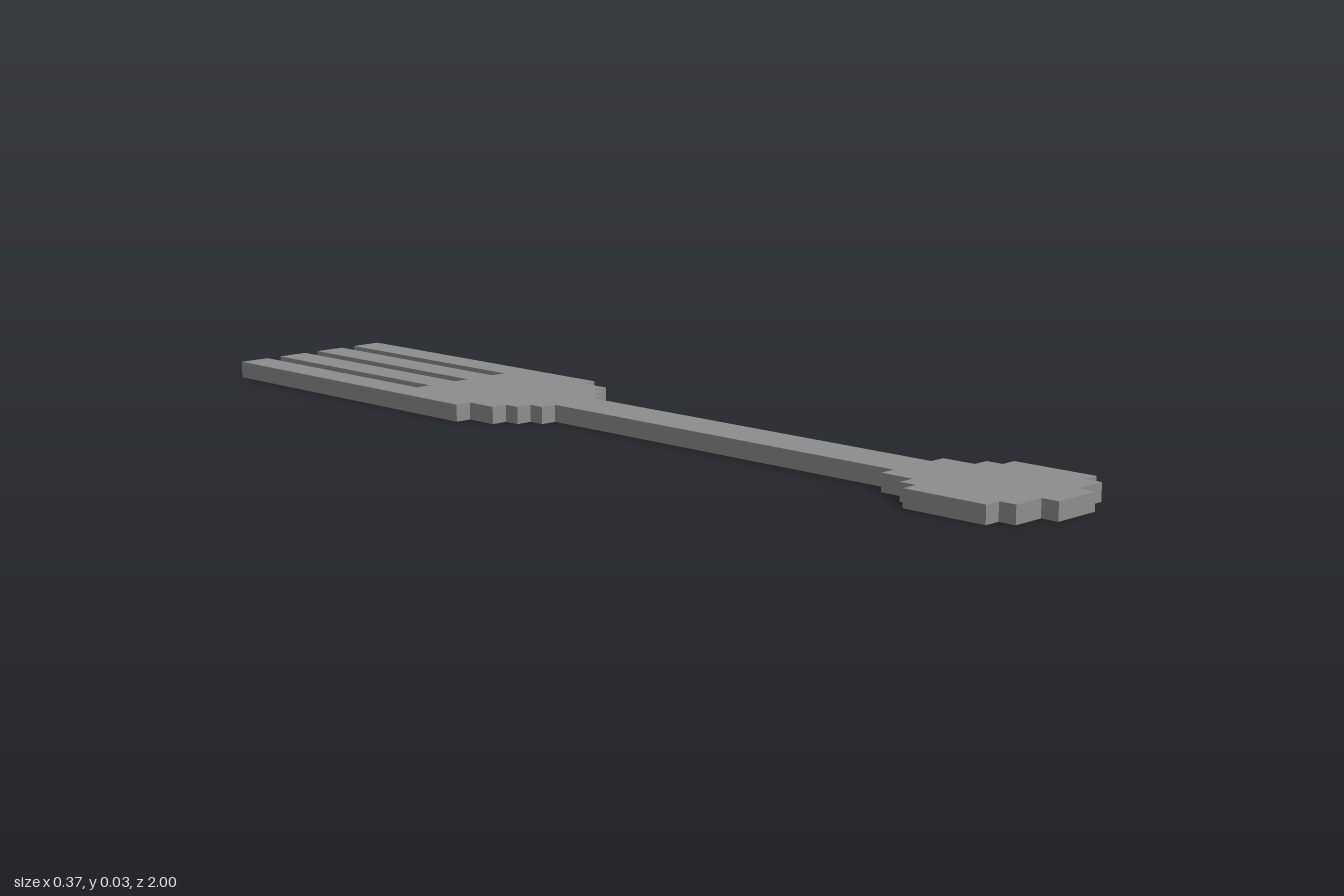
import * as THREE from 'three';

const U = 1 / 30; // one grid cell of the stepped outline

export function createModel() {
  const group = new THREE.Group();
  group.name = 'fork';

  // [half width, z start, z end] in cells, from the handle end to the tine tips
  const steps = [
    [1.5, 30, 29], [3.5, 29, 28], [4.5, 28, 23], [3.5, 23, 22], [2.5, 22, 20], // rounded handle end
    [1.5, 20, -5],                                                          // handle
    [2.5, -5, -6], [3.5, -6, -7], [4.5, -7, -9], [5.5, -9, -30],            // head
  ];
  const right = steps.flatMap(([w, a, b]) => [[w, a], [w, b]]);
  const left = right.map(([x, z]) => [-x, z]).reverse();

  // three slots between the four tines, cut in from the tips
  const slots = [3, 0, -3].flatMap((c) => [
    [c + 0.5, -30], [c + 0.5, -15], [c - 0.5, -15], [c - 0.5, -30],
  ]);

  const outline = [...right, ...slots, ...left].map(([x, z]) => new THREE.Vector2(x * U, -z * U));
  const geometry = new THREE.ExtrudeGeometry(new THREE.Shape(outline), { depth: U, bevelEnabled: false });
  geometry.rotateX(-Math.PI / 2);

  const body = new THREE.Mesh(
    geometry,
    new THREE.MeshStandardMaterial({ color: 0x8d8d8d, flatShading: true }),
  );
  body.name = 'forkBody';
  group.add(body);
  return group;
}
